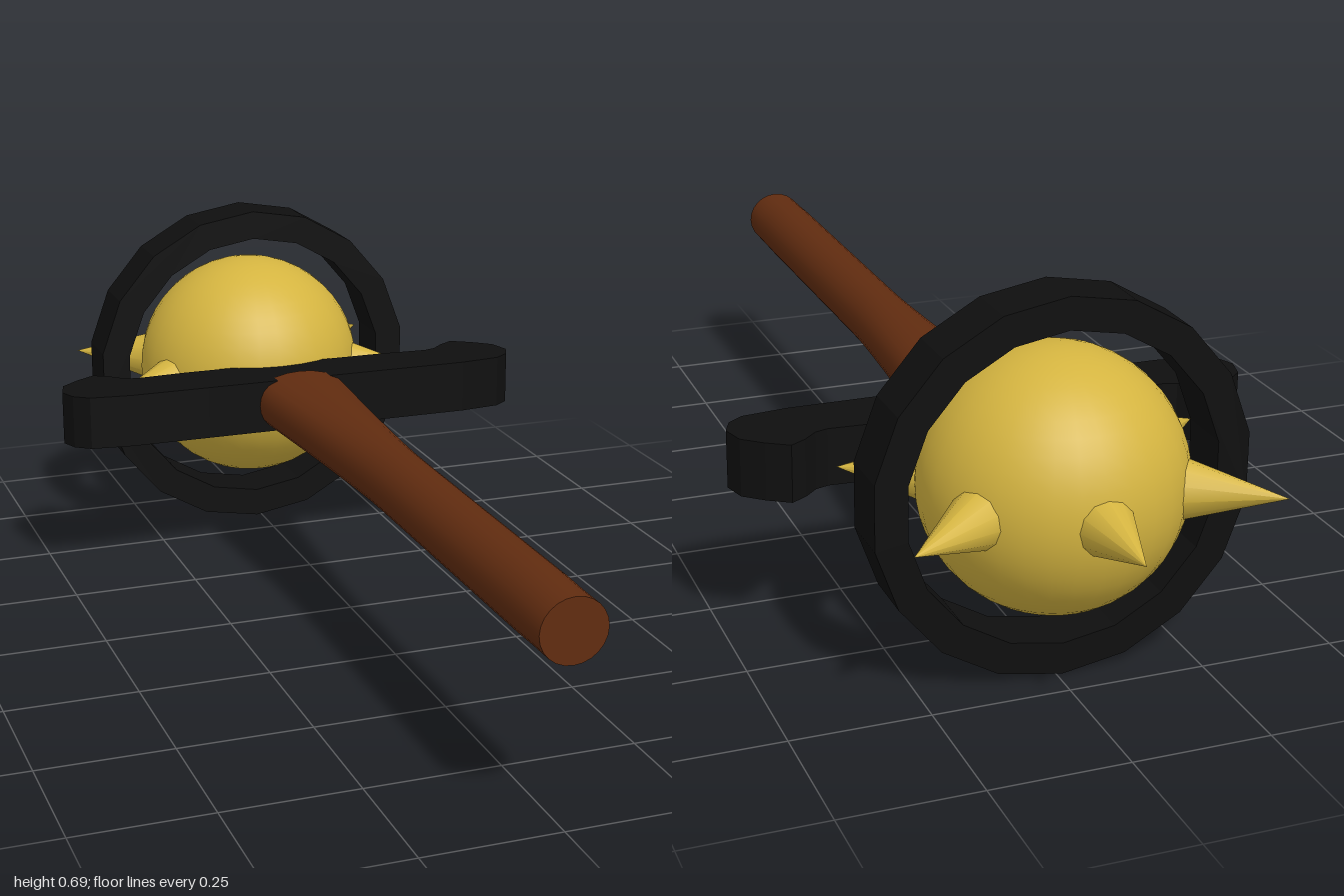
import * as THREE from 'three';

const gold = new THREE.MeshStandardMaterial({ color: 0xd4b440 });
const black = new THREE.MeshStandardMaterial({ color: 0x0f0f0f });
const brown = new THREE.MeshStandardMaterial({ color: 0x612c10 });

const CENTRE = new THREE.Vector3(-0.012, 0.345, -0.625);

function add(group, name, geometry, material) {
  const mesh = new THREE.Mesh(geometry, material);
  mesh.name = name;
  group.add(mesh);
  return mesh;
}

// Regular polygon points with a corner at the top
function polygon(radius, sides) {
  return Array.from({ length: sides }, (_, i) => {
    const a = Math.PI / 2 + (i / sides) * Math.PI * 2;
    return new THREE.Vector2(radius * Math.cos(a), radius * Math.sin(a));
  });
}

// Round shaft that widens sideways towards the guard
function handleGeometry() {
  const length = 1.32, radius = 0.06;
  const geo = new THREE.CylinderGeometry(radius, radius, length, 24, 22);
  geo.rotateX(Math.PI / 2).translate(0.005, 0.345, 1 - length / 2);
  const p = geo.attributes.position;
  for (let i = 0; i < p.count; i++) {
    const x = p.getX(i) - 0.005, z = p.getZ(i);
    const t = THREE.MathUtils.clamp((0.25 - z) / 0.55, 0, 1);
    const extra = 0.037 * Math.pow(t, 1.3);
    p.setX(i, 0.005 + x + extra * THREE.MathUtils.clamp(x / 0.045, -1, 1));
    // slight narrowing at the grip end
    if (z > 0.9) p.setY(i, 0.345 + (p.getY(i) - 0.345) * 0.96);
  }
  geo.computeVertexNormals();
  return geo;
}

// Flat bar with a raised, rounded hook at each end
function guardGeometry() {
  const half = [
    [0.2, 0.296], [0.36, 0.296], [0.444, 0.306], [0.474, 0.328], [0.488, 0.362],
    [0.476, 0.407], [0.44, 0.438], [0.4, 0.463], [0.37, 0.445], [0.345, 0.421],
    [0.32, 0.413], [0.22, 0.419],
  ];
  const points = [
    ...half,
    ...half.slice().reverse().map(([x, y]) => [-x, y]),
  ].map(([x, y]) => new THREE.Vector2(x, y));
  const geo = new THREE.ExtrudeGeometry(new THREE.Shape(points), { depth: 0.107, bevelEnabled: false });
  return geo.rotateX(-Math.PI / 2).translate(0, 0.289, 0);
}

export function createModel() {
  const model = new THREE.Group();
  model.name = 'mace';

  add(model, 'handle', handleGeometry(), brown);
  add(model, 'crossguard', guardGeometry(), black);

  // Upright ring around the head
  const ringShape = new THREE.Shape(polygon(0.344, 18));
  ringShape.holes.push(new THREE.Path(polygon(0.285, 18)));
  const ring = add(model, 'ring',
    new THREE.ExtrudeGeometry(ringShape, { depth: 0.107, bevelEnabled: false }), black);
  ring.position.set(-0.01, 0.345, -0.692);

  // Spiked ball
  const head = new THREE.Group();
  head.name = 'head';
  head.position.copy(CENTRE);
  model.add(head);
  add(head, 'ball', new THREE.SphereGeometry(0.236, 32, 24), gold);

  // Spikes lie in the horizontal plane: one behind, two pairs at the sides
  const tips = [[0, -0.375], [0.328, -0.222], [-0.334, -0.222], [0.333, 0.162], [-0.338, 0.155]];
  const up = new THREE.Vector3(0, 1, 0);
  for (const [x, z] of tips) {
    const tip = new THREE.Vector3(x, 0, z);
    const direction = tip.clone().normalize();
    const height = tip.length() - 0.2;
    const spike = add(head, 'spike', new THREE.ConeGeometry(0.06, height, 12), gold);
    spike.quaternion.setFromUnitVectors(up, direction);
    spike.position.copy(direction).multiplyScalar(0.2 + height / 2);
  }

  return model;
}
